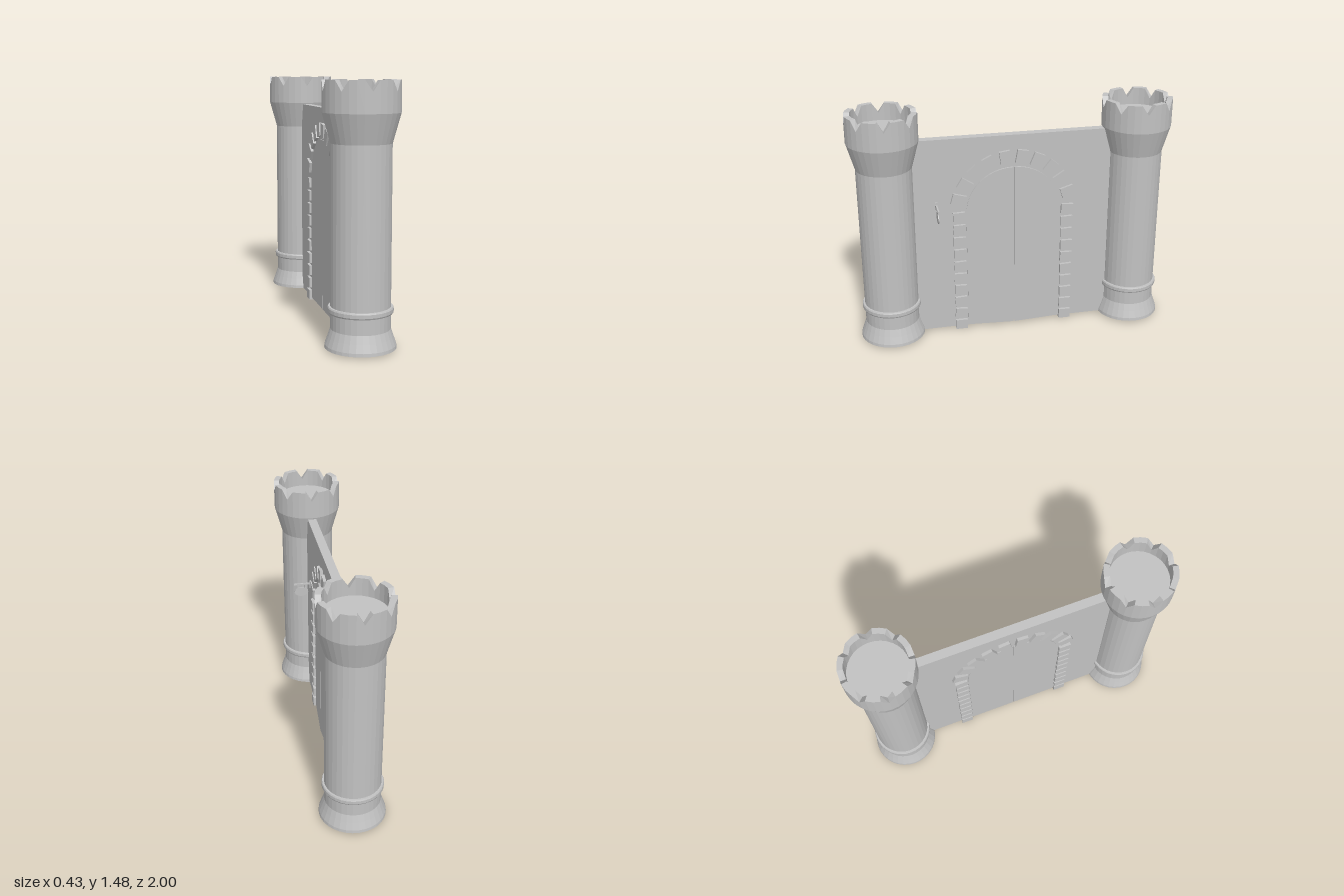
import * as THREE from 'three';

const stone = new THREE.MeshStandardMaterial({ color: 0xc2c2c2 });
stone.name = 'stone grey';

function add(parent, name, geometry, x = 0, y = 0, z = 0) {
  const mesh = new THREE.Mesh(geometry, stone);
  mesh.name = name;
  mesh.position.set(x, y, z);
  parent.add(mesh);
  return mesh;
}

// Faceted lathe; an optional rule may move its vertices
function facetedLathe(points, rule) {
  const lathe = new THREE.LatheGeometry(points.map(([r, y]) => new THREE.Vector2(r, y)), 32);
  if (rule) rule(lathe.attributes.position, points.length);
  const flat = lathe.toNonIndexed();
  flat.computeVertexNormals();
  return flat;
}

const TOP = 1.485, NOTCH = 1.425;

function makeTower() {
  const tower = new THREE.Group();
  const profile = [
    [0, 0.012], [0.202, 0.012], [0.2, 0.03], [0.184, 0.075], [0.169, 0.12],
    [0.169, 1.145], [0.215, 1.31], [0.215, TOP], [0.18, TOP], [0.18, 1.38], [0, 1.38],
  ];
  // Every fourth rim vertex drops to cut eight V-shaped notches
  add(tower, 'towerBody', facetedLathe(profile, (pos, count) => {
    for (let i = 0; i < pos.count; i++) {
      const segment = Math.floor(i / count);
      if (segment % 4 === 0 && pos.getY(i) > 1.48) pos.setY(i, NOTCH);
    }
  }));
  add(tower, 'towerRing', facetedLathe([
    [0.165, 0.21], [0.18, 0.21], [0.184, 0.218], [0.184, 0.238], [0.18, 0.246], [0.165, 0.246],
  ]));
  return tower;
}

// One half of an arched door; side is -1 or 1, bulge pushes the meeting edge outward
function doorLeaf(side, bulge) {
  const R = 0.297, spring = 0.805, gap = 0.004, base = 0.018;
  const shape = new THREE.Shape();
  shape.moveTo(side * gap, base);
  shape.lineTo(side * R, base);
  for (let i = 0; i <= 12; i++) {
    const a = (i / 12) * (Math.PI / 2);
    shape.lineTo(side * Math.max(gap, R * Math.cos(a)), spring + R * Math.sin(a));
  }
  const geometry = new THREE.ExtrudeGeometry(shape, { depth: 0.012, bevelEnabled: false });
  const pos = geometry.attributes.position;
  for (let i = 0; i < pos.count; i++) {
    pos.setZ(i, pos.getZ(i) + bulge * (1 - Math.abs(pos.getX(i)) / R));
  }
  geometry.computeVertexNormals();
  return geometry;
}

// Small seeded generator for uneven stones
let seed = 7;
function jitter(amount) {
  seed = (seed * 16807) % 2147483647;
  return (seed / 2147483647 - 0.5) * 2 * amount;
}

function makeStones(parent) {
  const stones = new THREE.Group();
  stones.name = 'archStones';
  parent.add(stones);
  // Upright columns
  for (const side of [-1, 1]) {
    for (let i = 0; i < 10; i++) {
      const block = add(stones, 'jambStone', new THREE.BoxGeometry(0.076, 0.064, 0.092),
        side * 0.343, 0.033 + i * 0.0843, 0);
      if (i > 0) block.rotation.z = jitter(0.06);
    }
  }
  // Curved top
  for (let i = 0; i < 10; i++) {
    const a = THREE.MathUtils.degToRad(16.5 + i * 16.33);
    const block = add(stones, 'voussoir', new THREE.BoxGeometry(0.085, 0.068, 0.092),
      0.36 * Math.cos(a), 0.805 + 0.36 * Math.sin(a), 0);
    block.rotation.z = a + jitter(0.05);
  }
}

function makeSign() {
  const sign = new THREE.Group();
  sign.name = 'hangingSign';
  add(sign, 'signWallPlate', new THREE.BoxGeometry(0.014, 0.05, 0.012), 0, 0.875, 0.032);
  add(sign, 'signBar', new THREE.BoxGeometry(0.01, 0.01, 0.115), 0, 0.88, 0.084);
  for (const z of [0.07, 0.115]) {
    add(sign, 'signHanger', new THREE.BoxGeometry(0.005, 0.03, 0.005), 0, 0.862, z);
  }
  // Rounded board hanging square to the wall
  const board = add(sign, 'signBoard',
    new THREE.CylinderGeometry(0.042, 0.042, 0.006, 12), 0, 0.825, 0.092);
  board.rotation.z = Math.PI / 2;
  board.scale.set(0.78, 1, 1.1);
  return sign;
}

export function createModel() {
  const model = new THREE.Group();
  model.name = 'castleGate';

  // Towers at both ends
  for (const side of [-1, 1]) {
    const tower = makeTower();
    tower.name = side > 0 ? 'frontTower' : 'backTower';
    tower.position.z = side * 0.784;
    model.add(tower);
  }

  // Gate wall is laid out facing +z, then turned to face +x
  const gate = new THREE.Group();
  gate.name = 'gateWall';
  gate.rotation.y = Math.PI / 2;
  model.add(gate);
  add(gate, 'wall', new THREE.BoxGeometry(1.4, 1.286, 0.055), 0, 0.658, 0);
  makeStones(gate);

  // Doors on the outer face swing slightly open, those on the inner face are flat
  for (const side of [-1, 1]) {
    add(gate, 'outerDoor', doorLeaf(side, 0.022), 0, 0, 0.019);
    const inner = add(gate, 'innerDoor', doorLeaf(side, 0), 0, 0, -0.02);
    inner.rotation.y = Math.PI;
  }

  const sign = makeSign();
  sign.position.x = -0.482;
  gate.add(sign);
  return model;
}
